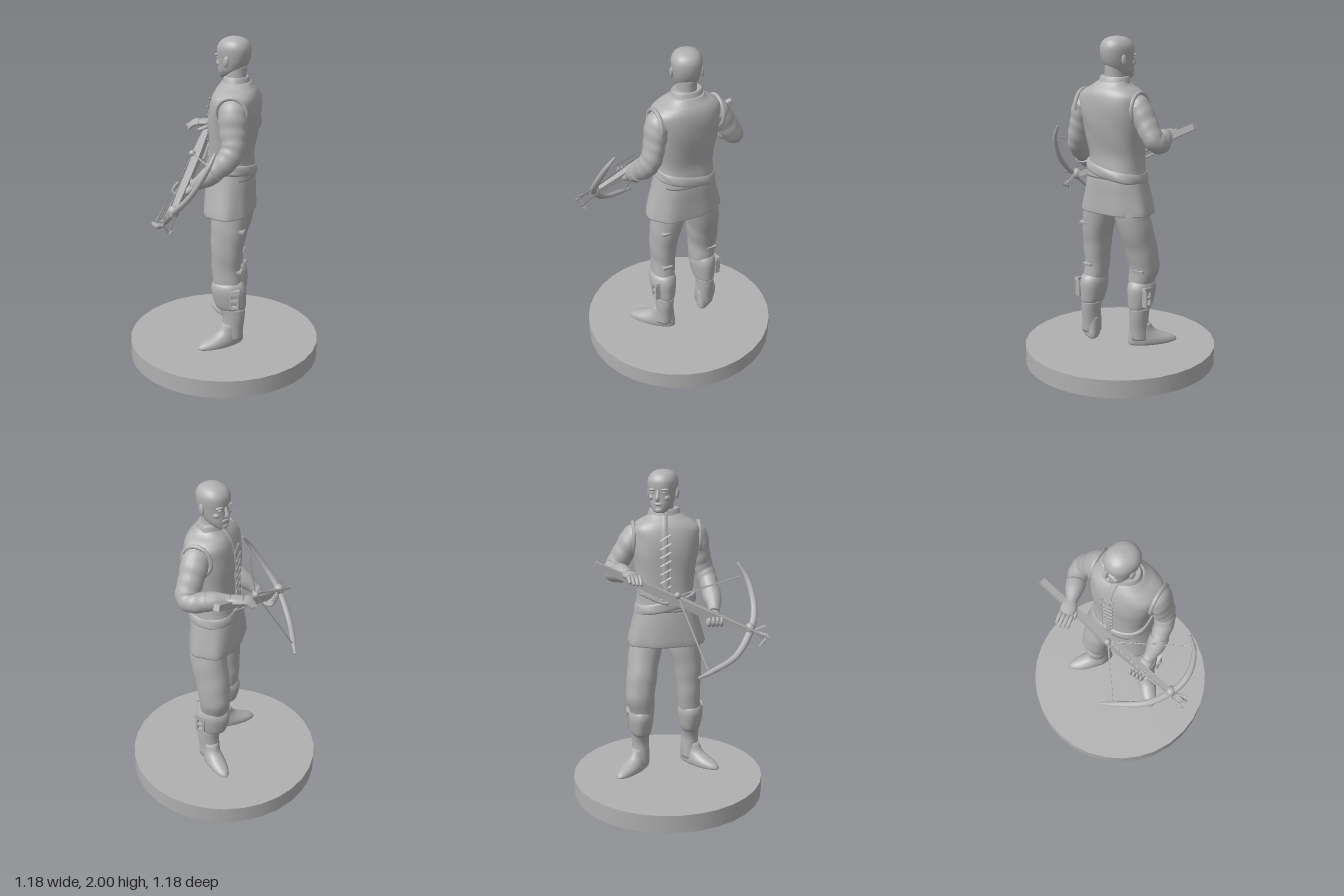
import * as THREE from 'three';

const V = (x, y, z) => new THREE.Vector3(x, y, z);

export function createModel() {
  const model = new THREE.Group();
  const stone = new THREE.MeshStandardMaterial({ color: 0xb0b0b0 });
  stone.name = 'stone grey';

  const add = (name, geo, parent = model) => {
    const m = new THREE.Mesh(geo, stone);
    m.name = name;
    parent.add(m);
    return m;
  };
  const group = (name, parent = model) => {
    const g = new THREE.Group();
    g.name = name;
    parent.add(g);
    return g;
  };

  // Closed skin over a list of rings, each an array of points
  function skin(rings, flat) {
    const n = rings[0].length, pos = [], idx = [];
    const center = r => r.reduce((s, p) => s.add(p), V(0, 0, 0)).divideScalar(n);
    [...rings.flat(), center(rings[0]), center(rings.at(-1))].forEach(p => pos.push(p.x, p.y, p.z));
    const last = (rings.length - 1) * n, c0 = rings.length * n;
    for (let j = 0; j < n; j++) {
      const k = (j + 1) % n;
      for (let i = 0; i < last; i += n) idx.push(i + j, i + k, i + n + j, i + k, i + n + k, i + n + j);
      idx.push(c0, k, j, c0 + 1, last + j, last + k);
    }
    let g = new THREE.BufferGeometry();
    g.setAttribute('position', new THREE.Float32BufferAttribute(pos, 3));
    g.setIndex(idx);
    if (flat) g = g.toNonIndexed();
    g.computeVertexNormals();
    return g;
  }

  // Horizontal cross-sections: rows of [y, xMin, xMax, zMin, zMax]
  function loft(rows, { e = 2, seg = 32, sub = 5, fold = () => 1, shear = 0 } = {}) {
    const A = new THREE.CatmullRomCurve3(rows.map(r => V(r[0], r[1], r[2])), false, 'catmullrom');
    const B = new THREE.CatmullRomCurve3(rows.map(r => V(r[3], r[4], 0)), false, 'catmullrom');
    const pw = v => Math.sign(v) * Math.abs(v) ** (2 / e);
    const n = (rows.length - 1) * sub, rings = [];
    for (let i = 0; i <= n; i++) {
      const a = A.getPoint(i / n), b = B.getPoint(i / n);
      rings.push(Array.from({ length: seg }, (_, j) => {
        const t = j / seg * Math.PI * 2, f = fold(t, a.x);
        const z = (b.x + b.y) / 2 + (b.y - b.x) / 2 * pw(Math.cos(t)) * f;
        const x = (a.y + a.z) / 2 + (a.z - a.y) / 2 * pw(Math.sin(t)) * f;
        return V(x, a.x + shear * z, z);
      }));
    }
    return skin(rings);
  }

  // Tube of varying radius: points of [x, y, z, radius, otherRadius]
  function sweep(pts, { ref = V(0, 0, 1), seg = 14, sub = 6, flat = false, wrinkle = 0 } = {}) {
    const C = new THREE.CatmullRomCurve3(pts.map(p => V(p[0], p[1], p[2])), false, 'catmullrom');
    const R = new THREE.CatmullRomCurve3(pts.map(p => V(p[3], p[4] ?? p[3], 0)), false, 'catmullrom');
    const n = (pts.length - 1) * sub, rings = [];
    for (let i = 0; i <= n; i++) {
      const c = C.getPoint(i / n), r = R.getPoint(i / n), t = C.getTangent(i / n);
      const u = ref.clone().cross(t).normalize(), v = t.clone().cross(u);
      rings.push(Array.from({ length: seg }, (_, j) => {
        const a = (j + 0.5) / seg * Math.PI * 2, f = 1 + wrinkle * Math.sin(i * 1.5 + Math.sin(a) * 1.6);
        return c.clone().addScaledVector(u, r.x * f * Math.cos(a)).addScaledVector(v, r.y * f * Math.sin(a));
      }));
    }
    return skin(rings, flat);
  }
  const UP = V(0, 1, 0);
  const cord = (name, a, b, r, parent) => add(name, sweep([[...a, r], [...b, r]], { ref: V(0.3, 0.9, 0.2), seg: 6, sub: 1 }), parent);
  const blob = (name, p, s, parent) => {
    const m = add(name, new THREE.SphereGeometry(1, 16, 12), parent);
    m.position.set(...p);
    m.scale.set(...s);
    return m;
  };
  const box = (name, p, s, parent) => {
    const m = add(name, new THREE.BoxGeometry(...s), parent);
    m.position.set(...p);
    return m;
  };

  // Base disc
  const base = add('base', new THREE.CylinderGeometry(0.59, 0.59, 0.11, 32));
  base.position.y = 0.055;

  // Tunic: flared skirt, vest body and collar
  add('tunicSkirt', loft([
    [0.965, -0.11, 0.185, -0.24, 0.23], [1.0, -0.112, 0.185, -0.235, 0.222], [1.08, -0.108, 0.183, -0.215, 0.2],
    [1.16, -0.1, 0.182, -0.195, 0.18], [1.25, -0.085, 0.17, -0.175, 0.16],
  ], { e: 2.4, seg: 48, fold: (t, y) => 1 + 0.09 * (1.25 - y) * Math.sin(t * 7 + 1) }));
  add('vest', loft([
    [1.18, -0.1, 0.185, -0.19, 0.168], [1.24, -0.092, 0.18, -0.18, 0.16], [1.32, -0.085, 0.175, -0.178, 0.158],
    [1.42, -0.083, 0.193, -0.188, 0.172], [1.52, -0.085, 0.21, -0.2, 0.19], [1.6, -0.077, 0.215, -0.205, 0.2],
    [1.66, -0.062, 0.208, -0.205, 0.202], [1.695, -0.045, 0.195, -0.17, 0.165], [1.72, -0.025, 0.175, -0.125, 0.12],
    [1.745, 0, 0.155, -0.1, 0.085],
  ], { e: 2.5, seg: 48, fold: (t, y) => 1 + 0.008 * Math.sin(t * 5 + y * 30) }));
  add('collar', loft([
    [1.7, -0.02, 0.165, -0.125, 0.11], [1.73, -0.012, 0.156, -0.112, 0.092], [1.77, 0, 0.142, -0.1, 0.076], [1.772, 0.01, 0.13, -0.09, 0.068],
  ], { shear: 0.03 }));
  add('sash', loft([
    [1.185, -0.095, 0.18, -0.185, 0.165], [1.195, -0.106, 0.193, -0.196, 0.175], [1.22, -0.106, 0.195, -0.196, 0.174],
    [1.245, -0.1, 0.187, -0.188, 0.17], [1.25, -0.085, 0.175, -0.175, 0.16],
  ], { e: 2.4, shear: 0.2, fold: (t, y) => 1 + 0.008 * Math.sin(t * 6 + y * 90) }));

  // Vest opening with lacing
  add('vestPlacket', sweep([[-0.005, 1.74, -0.02, 0.01, 0.02], [-0.052, 1.67, -0.025, 0.01, 0.02], [-0.083, 1.55, -0.025, 0.01, 0.02],
    [-0.086, 1.38, -0.02, 0.01, 0.02], [-0.098, 1.22, -0.015, 0.01, 0.02]], { seg: 8 }));
  for (let i = 0; i < 8; i++) {
    const y = 1.26 + i * 0.05, x = -0.096 + (i > 6 ? 0.012 : 0);
    cord('vestLace', [x, y, -0.055], [x, y + 0.03, 0.01], 0.006);
  }
  // Armhole rims
  for (const s of [-1, 1]) {
    const rim = add('armholeRim', new THREE.TorusGeometry(0.088, 0.012, 8, 28));
    rim.position.set(0.085, 1.595, s * 0.195);
    rim.scale.set(1, 1.05, 1);
  }

  // Head, turned a little to one side
  const head = group('head');
  head.position.set(0.055, 0, -0.02);
  head.rotation.y = -0.42;
  add('neck', loft([[1.68, -0.05, 0.085, -0.062, 0.062], [1.76, -0.05, 0.078, -0.058, 0.058], [1.84, -0.04, 0.078, -0.056, 0.056]]), head);
  add('skull', loft([
    [1.757, -0.085, -0.03, -0.025, 0.025], [1.768, -0.098, 0, -0.042, 0.042], [1.8, -0.1, 0.05, -0.064, 0.064],
    [1.835, -0.098, 0.078, -0.074, 0.074], [1.87, -0.097, 0.094, -0.081, 0.081], [1.91, -0.1, 0.102, -0.087, 0.087],
    [1.945, -0.096, 0.1, -0.086, 0.086], [1.975, -0.075, 0.083, -0.07, 0.07], [1.993, -0.042, 0.052, -0.042, 0.042], [2, -0.008, 0.012, -0.01, 0.01],
  ], { e: 2.2 }), head);
  add('nose', sweep([[-0.094, 1.89, 0, 0.008], [-0.106, 1.862, 0, 0.011], [-0.11, 1.842, 0, 0.014], [-0.1, 1.832, 0, 0.01]]), head);
  blob('lips', [-0.097, 1.81, 0], [0.01, 0.009, 0.026], head);
  blob('chin', [-0.09, 1.775, 0], [0.016, 0.017, 0.024], head);
  for (const s of [-1, 1]) {
    blob('brow', [-0.087, 1.893, s * 0.035], [0.016, 0.008, 0.028], head);
    blob('eye', [-0.085, 1.876, s * 0.034], [0.013, 0.007, 0.014], head);
    blob('cheek', [-0.068, 1.845, s * 0.045], [0.023, 0.018, 0.019], head);
    blob('ear', [0.005, 1.865, s * 0.085], [0.018, 0.034, 0.011], head).rotation.z = -0.15;
  }

  // Trousers
  const cloth = { e: 2.2, fold: (t, y) => 1 + 0.012 * Math.sin(y * 45 + Math.sin(t) * 2) };
  add('forwardTrouserLeg', loft([
    [0.42, -0.05, 0.07, -0.21, -0.11], [0.52, -0.083, 0.085, -0.23, -0.085], [0.62, -0.103, 0.085, -0.258, -0.085],
    [0.72, -0.098, 0.105, -0.254, -0.07], [0.82, -0.083, 0.135, -0.243, -0.055], [0.92, -0.06, 0.16, -0.23, -0.03], [1.05, -0.05, 0.165, -0.2, 0],
  ], cloth));
  add('rearTrouserLeg', loft([
    [0.42, 0, 0.14, 0.1, 0.2], [0.52, -0.03, 0.14, 0.077, 0.212], [0.62, -0.042, 0.132, 0.068, 0.206],
    [0.72, -0.045, 0.138, 0.058, 0.212], [0.82, -0.05, 0.152, 0.042, 0.212], [0.92, -0.05, 0.165, 0.015, 0.205], [1.05, -0.05, 0.165, 0, 0.19],
  ], cloth));
  for (const [y, x, z] of [[0.885, 0.145, 0.16], [0.62, 0.128, 0.15], [0.62, 0.075, -0.19]])
    box('trouserStrap', [x, y, z], [0.03, 0.014, 0.06]).rotation.z = -0.2;

  // Boots, mirrored, with toes turned out
  for (const s of [-1, 1]) {
    const boot = group(s > 0 ? 'rearBoot' : 'forwardBoot');
    const dx = s > 0 ? 0 : -0.055, dz = s > 0 ? 0 : 0.015;
    const place = rows => rows.map(([y, a, b, c, d]) => [y, a + dx, b + dx, ...(s > 0 ? [c, d] : [-d - dz, -c - dz])]);
    add('bootShaft', loft(place([
      [0.18, 0.015, 0.15, 0.1, 0.212], [0.25, 0.022, 0.155, 0.097, 0.207], [0.32, 0.025, 0.163, 0.099, 0.207], [0.38, 0.005, 0.165, 0.093, 0.208],
    ])), boot);
    add('bootCuff', loft(place([
      [0.365, 0.01, 0.155, 0.1, 0.2], [0.385, -0.015, 0.168, 0.088, 0.212], [0.42, -0.03, 0.17, 0.08, 0.22],
      [0.49, -0.045, 0.17, 0.071, 0.228], [0.53, -0.04, 0.158, 0.075, 0.222], [0.55, -0.025, 0.14, 0.085, 0.208],
    ]), { fold: t => 1 + 0.012 * Math.sin(t * 6) }), boot);
    const foot = add('foot', loft([
      [0.14, -0.21, 0.065, -0.045, 0.045], [0.15, -0.235, 0.074, -0.055, 0.055], [0.175, -0.215, 0.075, -0.057, 0.057],
      [0.2, -0.155, 0.072, -0.053, 0.053], [0.23, -0.095, 0.068, -0.05, 0.05], [0.28, -0.065, 0.062, -0.048, 0.048],
    ], { sub: 3 }), boot);
    foot.position.set(0.085 + dx, 0, s * (0.153 + dz));
    foot.rotation.y = s * 0.72;
    const bz = s * (0.222 + dz), bx = 0.115 + dx;
    for (const o of [-0.022, 0.022]) box('buckleSide', [bx + o, 0.455, bz], [0.012, 0.1, 0.03], boot);
    for (const o of [-0.045, 0, 0.045]) box('buckleBar', [bx, 0.455 + o, bz], [0.055, 0.014, 0.028], boot);
    box('bootTab', [bx, 0.51, bz], [0.07, 0.02, 0.025], boot).rotation.z = 0.2;
  }

  // Arm supporting the fore end
  const lowArm = group('supportArm');
  add('sleeve', sweep([[0.1, 1.65, 0.15, 0.055], [0.095, 1.6, 0.185, 0.082, 0.068], [0.1, 1.5, 0.208, 0.08, 0.06], [0.105, 1.41, 0.228, 0.07, 0.06],
    [0.075, 1.34, 0.25, 0.066, 0.058], [0.0, 1.27, 0.262, 0.056, 0.05], [-0.06, 1.22, 0.265, 0.045]], { wrinkle: 0.03, seg: 20 }), lowArm);
  add('gloveCuff', sweep([[0.01, 1.275, 0.262, 0.059], [-0.04, 1.235, 0.266, 0.054], [-0.09, 1.2, 0.265, 0.038], [-0.12, 1.18, 0.26, 0.034]]), lowArm);
  add('palm', sweep([[-0.1, 1.19, 0.262, 0.03, 0.035], [-0.14, 1.155, 0.255, 0.024, 0.045], [-0.185, 1.13, 0.25, 0.02, 0.042]]), lowArm);
  for (let i = 0; i < 4; i++) {
    const z = 0.215 + i * 0.024;
    add('finger', sweep([[-0.175, 1.135, z, 0.013], [-0.215, 1.13, z, 0.012], [-0.235, 1.15, z, 0.011], [-0.225, 1.18, z, 0.008]], { seg: 8, sub: 4 }), lowArm);
  }
  add('thumb', sweep([[-0.12, 1.17, 0.235, 0.016], [-0.145, 1.185, 0.205, 0.014], [-0.165, 1.205, 0.19, 0.009]], { ref: UP, seg: 8 }), lowArm);

  // Arm at the trigger
  const highArm = group('triggerArm'), bend = V(-0.27, 0.5, -0.82);
  add('sleeve', sweep([[0.1, 1.65, -0.15, 0.055], [0.09, 1.6, -0.195, 0.08, 0.068], [0.095, 1.51, -0.25, 0.074, 0.066], [0.1, 1.43, -0.3, 0.068, 0.06],
    [0.06, 1.405, -0.315, 0.062, 0.058], [-0.02, 1.41, -0.285, 0.055], [-0.09, 1.42, -0.258, 0.04]], { ref: bend, wrinkle: 0.03, seg: 20 }), highArm);
  add('gloveCuff', sweep([[-0.01, 1.41, -0.288, 0.058], [-0.06, 1.417, -0.27, 0.052], [-0.11, 1.422, -0.25, 0.036], [-0.14, 1.424, -0.243, 0.03]], { ref: UP }), highArm);
  add('palm', sweep([[-0.12, 1.423, -0.248, 0.032, 0.025], [-0.16, 1.428, -0.237, 0.045, 0.022], [-0.21, 1.428, -0.225, 0.042, 0.018]], { ref: UP }), highArm);
  for (let i = 0; i < 4; i++) {
    const z = -0.255 + i * 0.022, x = -0.265 - 0.012 * (2 - Math.abs(i - 1));
    add('finger', sweep([[-0.2, 1.428, z, 0.012], [-0.235, 1.432 - i * 0.004, z + 0.004, 0.012], [x, 1.408 - i * 0.006, z + 0.008, 0.008]], { ref: UP, seg: 8 }), highArm);
  }
  add('thumb', sweep([[-0.14, 1.415, -0.215, 0.016], [-0.17, 1.4, -0.19, 0.014], [-0.205, 1.39, -0.18, 0.009]], { ref: UP, seg: 8 }), highArm);

  // Crossbow: stock, bow, string, bolt, stirrup and trigger
  const bow = group('crossbow');
  add('stock', sweep([[-0.133, 1.49, -0.435, 0.025, 0.026], [-0.15, 1.39, -0.22, 0.024, 0.028], [-0.165, 1.285, 0, 0.036, 0.034],
    [-0.175, 1.19, 0.2, 0.032, 0.03], [-0.185, 1.09, 0.44, 0.022, 0.022], [-0.188, 1.07, 0.49, 0.018]], { ref: UP, seg: 4, sub: 2, flat: true }), bow);
  add('bowLimbs', sweep([[0.05, 1.437, 0.43, 0.007], [0.012, 1.34, 0.485, 0.013, 0.017], [-0.075, 1.2, 0.51, 0.015, 0.02], [-0.182, 1.085, 0.472, 0.018, 0.022],
    [-0.29, 0.96, 0.365, 0.015, 0.02], [-0.372, 0.902, 0.215, 0.013, 0.017], [-0.415, 0.878, 0.125, 0.007]], { ref: V(0.5, 0.2, -0.8), seg: 8 }), bow);
  const nock = [-0.185, 1.305, 0.035];
  cord('string', nock, [0.015, 1.36, 0.44], 0.005, bow);
  cord('string', nock, [-0.375, 0.91, 0.185], 0.005, bow);
  blob('releaseNut', nock, [0.02, 0.02, 0.02], bow);
  blob('bowBinding', [-0.184, 1.09, 0.465], [0.033, 0.036, 0.03], bow);
  cord('bolt', [-0.18, 1.305, 0.035], [-0.222, 1.04, 0.575], 0.007, bow);
  const stirrup = [[-0.205, 1.09, 0.46], [-0.225, 1.06, 0.56], [-0.2, 0.985, 0.525], [-0.165, 1.01, 0.565], [-0.17, 1.09, 0.46]];
  stirrup.slice(1).forEach((p, i) => cord('stirrup', stirrup[i], p, 0.008, bow));
  cord('stirrup', [-0.19, 1.08, 0.47], [-0.17, 1.1, 0.56], 0.007, bow);
  add('triggerLever', sweep([[-0.15, 1.26, 0.0, 0.008], [-0.138, 1.25, -0.05, 0.008], [-0.135, 1.31, -0.18, 0.007]], { ref: V(1, 0, 0), seg: 6 }), bow);

  return model;
}
